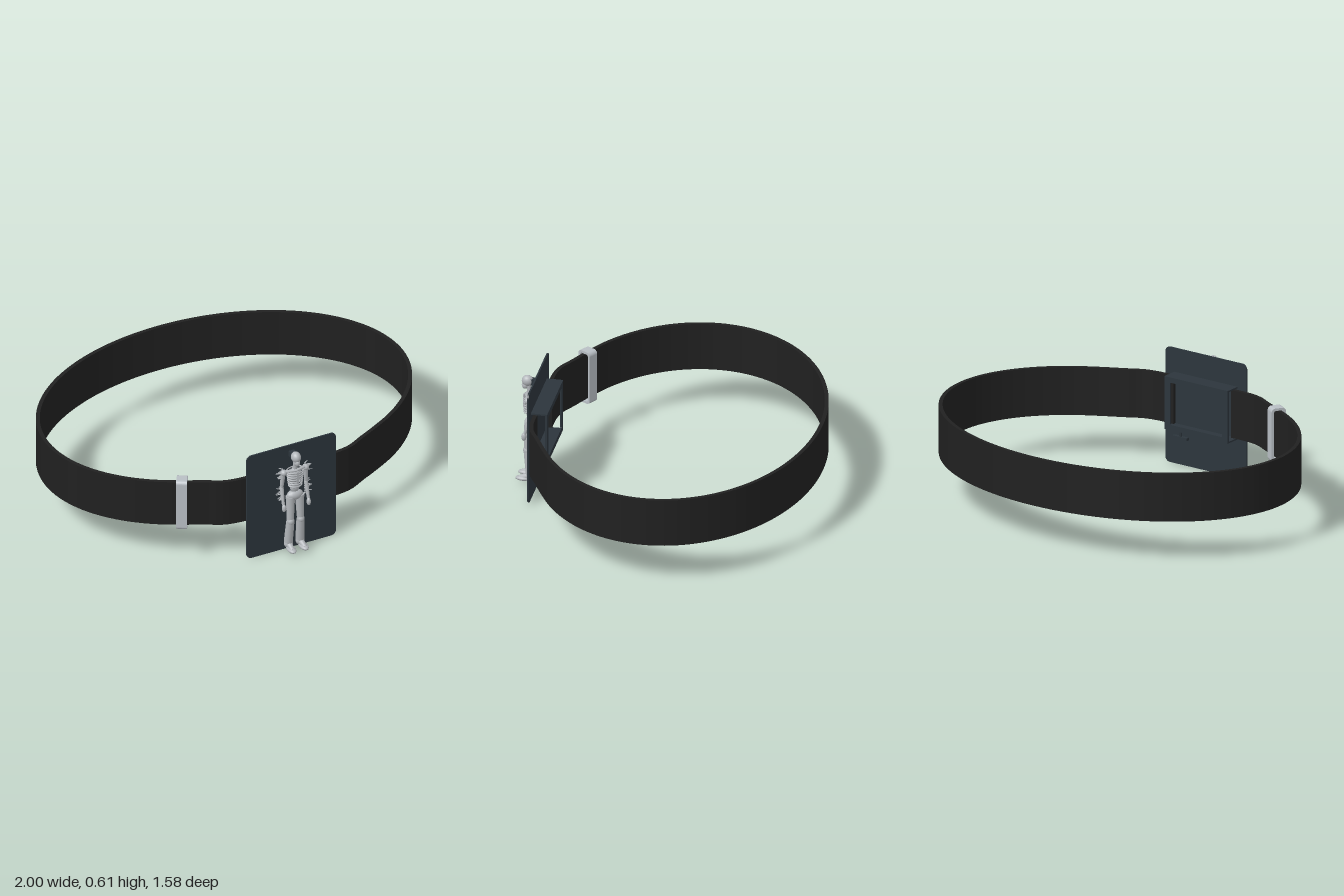
import * as THREE from 'three';

const mat = (name, color, side = THREE.FrontSide) => {
  const m = new THREE.MeshStandardMaterial({ color, side });
  m.name = name;
  return m;
};

export function createModel() {
  const root = new THREE.Group();
  root.name = 'beltWithBuckle';
  const leather = mat('blackLeather', 0x202020);
  const steel = mat('darkSteel', 0x2c353c);
  const silver = mat('silver', 0xb8bec4);
  const bone = mat('paleMetal', 0xb2b6ba);

  const add = (name, geo, material, parent = root, pos = [0, 0, 0]) => {
    const m = new THREE.Mesh(geo, material);
    m.name = name;
    m.position.set(...pos);
    parent.add(m);
    return m;
  };
  const box = (name, size, pos, material = steel, parent = root) =>
    add(name, new THREE.BoxGeometry(...size), material, parent, pos);
  const roundRect = (T, w, h, r) => {
    const s = new T();
    s.absarc(w / 2 - r, h / 2 - r, r, 0, Math.PI / 2);
    s.absarc(-w / 2 + r, h / 2 - r, r, Math.PI / 2, Math.PI);
    s.absarc(-w / 2 + r, -h / 2 + r, r, Math.PI, Math.PI * 1.5);
    s.absarc(w / 2 - r, -h / 2 + r, r, Math.PI * 1.5, Math.PI * 2);
    s.closePath();
    return s;
  };
  const extrude = (shape, depth, curveSegments = 8) =>
    new THREE.ExtrudeGeometry(shape, { depth, bevelEnabled: false, curveSegments });

  // Belt strap: an oval that flattens toward the buckle, offset to both sides
  const front = [[0.18, 0.653], [0.28, 0.652], [0.36, 0.636], [0.44, 0.594]];
  const path = front.map(([x, z]) => new THREE.Vector3(x, 0, z));
  const t0 = -0.979, t1 = Math.PI + 0.979;
  for (let i = 0; i <= 32; i++) {
    const t = t0 + (t1 - t0) * i / 32;
    path.push(new THREE.Vector3(0.989 * Math.cos(t), 0, -0.06 - 0.72 * Math.sin(t)));
  }
  front.slice().reverse().forEach(([x, z]) => path.push(new THREE.Vector3(-x, 0, z)));
  const curve = new THREE.CatmullRomCurve3(path);
  const N = 160, outer = [], inner = [];
  for (let i = 0; i <= N; i++) {
    const p = curve.getPointAt(i / N), t = curve.getTangentAt(i / N);
    const nx = -t.z * 0.01, nz = t.x * 0.01;
    outer.push(new THREE.Vector2(p.x + nx, -(p.z + nz)));
    inner.push(new THREE.Vector2(p.x - nx, -(p.z - nz)));
  }
  const strap = extrude(new THREE.Shape([...outer, ...inner.reverse()]), 0.255);
  strap.rotateX(-Math.PI / 2);
  add('strap', strap, leather, root, [0, 0.22, 0]);

  // Silver keeper loop wrapped around the strap
  const loop = roundRect(THREE.Shape, 0.078, 0.29, 0.02);
  loop.holes.push(roundRect(THREE.Path, 0.052, 0.264, 0.01));
  const keeperGeo = extrude(loop, 0.055);
  keeperGeo.translate(0, 0, -0.0275);
  const keeper = add('keeperLoop', keeperGeo, silver, root, [-0.545, 0.346, 0.535]);
  keeper.rotation.y = Math.PI / 2 - 0.56;

  // Buckle plate and the open bracket behind it
  const buckle = new THREE.Group();
  buckle.name = 'buckle';
  root.add(buckle);
  add('bucklePlate', extrude(roundRect(THREE.Shape, 0.506, 0.614, 0.028), 0.008), steel, buckle, [0, 0.307, 0.674]);
  for (const y of [0.21, 0.483]) box('bracketWall', [0.396, 0.008, 0.085], [0, y, 0.6325], steel, buckle);
  const frame = roundRect(THREE.Shape, 0.396, 0.281, 0.004);
  frame.holes.push(roundRect(THREE.Path, 0.325, 0.225, 0.004));
  add('bracketFrame', extrude(frame, 0.01), steel, buckle, [0, 0.3465, 0.59]);
  // Release lever below the bracket
  add('leverStem', new THREE.CylinderGeometry(0.007, 0.007, 0.055, 12), steel, buckle, [0.13, 0.183, 0.636]);
  box('leverTab', [0.09, 0.014, 0.018], [0.13, 0.159, 0.636], steel, buckle);

  // Skeleton figure on the plate
  const fig = new THREE.Group();
  fig.name = 'skeletonFigure';
  root.add(fig);
  const ball = (name, pos, r, material = bone) => {
    const m = add(name, new THREE.SphereGeometry(1, 18, 12), material, fig, pos);
    m.scale.set(...r);
    return m;
  };
  const limb = (name, a, b, ra, rb) => {
    const A = new THREE.Vector3(...a), B = new THREE.Vector3(...b), d = B.clone().sub(A);
    const m = add(name, new THREE.CylinderGeometry(rb, ra, d.length(), 12), bone, fig);
    m.position.copy(A).add(B).multiplyScalar(0.5);
    m.quaternion.setFromUnitVectors(new THREE.Vector3(0, 1, 0), d.normalize());
    return m;
  };
  const ring = (name, pos, rx, rz, tube) => {
    const geo = new THREE.TorusGeometry(1, tube / rx, 6, 24);
    geo.rotateX(Math.PI / 2);
    geo.scale(rx, rx, rz);
    return add(name, geo, bone, fig, pos);
  };

  // Mounting pegs
  box('headPeg', [0.03, 0.032, 0.035], [0, 0.566, 0.696], steel, fig);
  box('hipPeg', [0.03, 0.032, 0.03], [0, 0.335, 0.694], steel, fig);

  // Skull
  ball('skull', [0, 0.569, 0.732], [0.025, 0.029, 0.03]);
  ball('jaw', [0, 0.542, 0.744], [0.016, 0.02, 0.018]);
  limb('neck', [0, 0.485, 0.72], [0, 0.55, 0.727], 0.012, 0.011);

  // Ribcage, spine and pelvis
  limb('spine', [0, 0.33, 0.712], [0, 0.5, 0.712], 0.012, 0.01);
  ball('chest', [0, 0.455, 0.722], [0.038, 0.045, 0.024]);
  for (let i = 0; i < 7; i++) {
    const k = i / 6;
    const rib = ring('rib', [0, 0.487 - 0.085 * k, 0.724], 0.047 - 0.012 * k, 0.029 - 0.004 * k, 0.0045);
    rib.rotation.x = 0.15;
  }
  box('breastbone', [0.011, 0.07, 0.008], [0, 0.455, 0.751], bone, fig);
  ball('waist', [0, 0.385, 0.718], [0.026, 0.035, 0.019]);
  ball('pelvis', [0, 0.338, 0.72], [0.045, 0.028, 0.027]);

  for (const s of [-1, 1]) {
    // Arms and hands
    limb('collarbone', [0, 0.492, 0.738], [s * 0.06, 0.491, 0.722], 0.007, 0.008);
    ball('shoulder', [s * 0.062, 0.484, 0.718], [0.017, 0.017, 0.018]);
    limb('upperArm', [s * 0.064, 0.484, 0.716], [s * 0.069, 0.39, 0.708], 0.013, 0.009);
    ball('elbow', [s * 0.069, 0.39, 0.708], [0.011, 0.012, 0.011]);
    limb('forearm', [s * 0.069, 0.39, 0.708], [s * 0.071, 0.302, 0.732], 0.011, 0.008);
    ball('hand', [s * 0.07, 0.284, 0.737], [0.011, 0.022, 0.013]);

    // Legs and feet
    limb('thigh', [s * 0.026, 0.335, 0.721], [s * 0.029, 0.19, 0.726], 0.024, 0.018);
    ball('knee', [s * 0.029, 0.19, 0.728], [0.02, 0.023, 0.021]);
    limb('shin', [s * 0.029, 0.185, 0.726], [s * 0.033, 0.06, 0.712], 0.021, 0.023);
    ball('ankle', [s * 0.033, 0.05, 0.713], [0.024, 0.026, 0.022]);
    limb('instep', [s * 0.033, 0.05, 0.715], [s * 0.035, 0.034, 0.766], 0.018, 0.012);
    ball('foot', [s * 0.035, 0.033, 0.748], [0.022, 0.013, 0.04]);

    // Fringes of small spikes beside the shoulders and forearms
    for (const [y, span, count] of [[0.475, 0.055, 7], [0.362, 0.09, 9]]) {
      for (let i = 0; i < count; i++) {
        const k = i / (count - 1) * 2 - 1;
        const reach = 0.083 + 0.019 * (1 - k * k) - 0.004 * (i % 2);
        const py = y + k * span / 2;
        limb('spike', [s * 0.062, py - k * 0.004, 0.706], [s * reach, py + k * 0.006, 0.7 + 0.009 * (i % 3)], 0.004, 0.0015);
      }
    }
  }
  return root;
}
